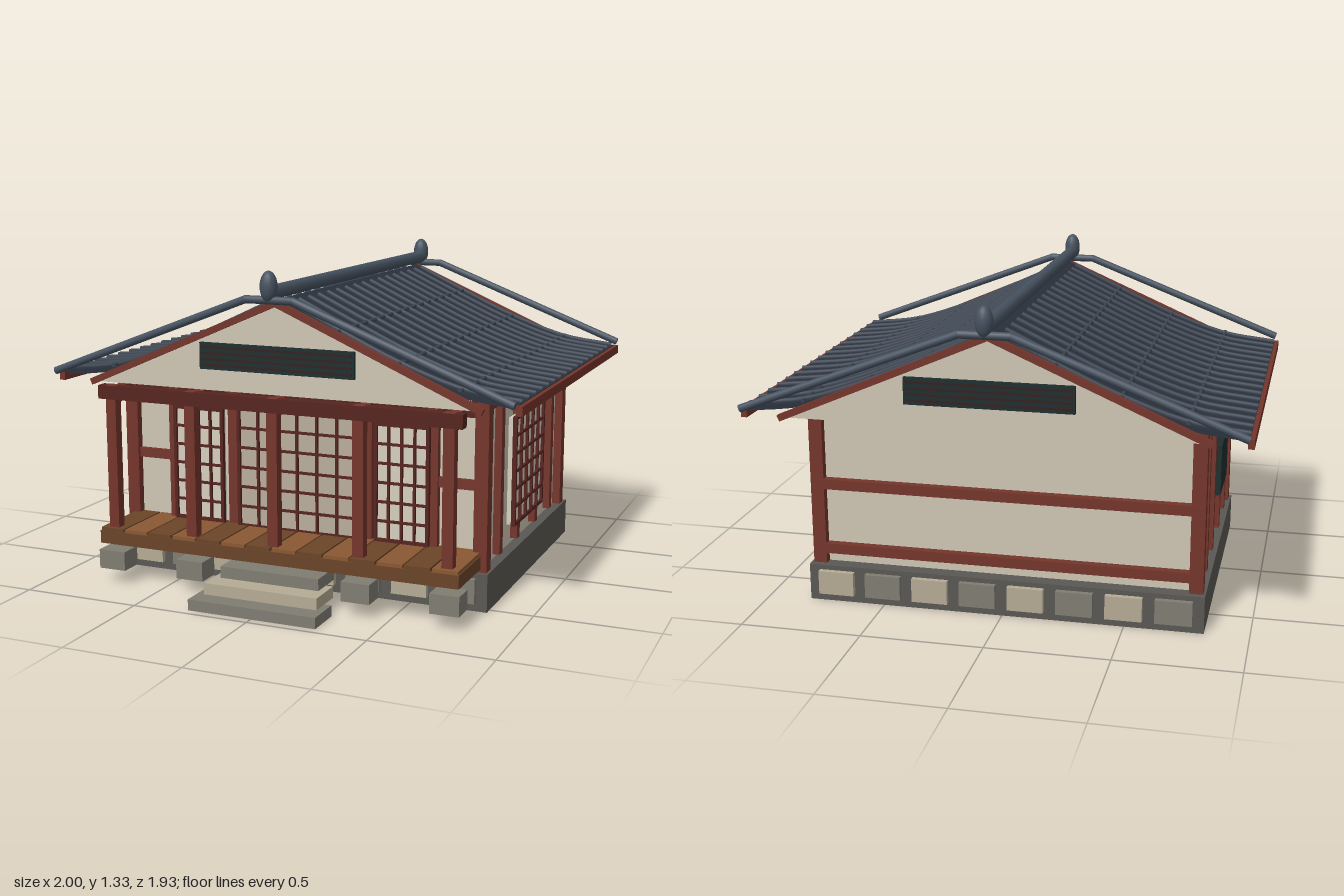
import * as THREE from 'three';

const mat = (color) => new THREE.MeshStandardMaterial({ color });
const M = {
  red: mat(0x74352b), darkRed: mat(0x56241f), wall: mat(0xcfc7b5), paper: mat(0xd6cfbf), door: mat(0xb9ae9e),
  tile: mat(0x2b323d), rib: mat(0x3a4350), ridge: mat(0x465260), base: mat(0x5a5853), stone: mat(0x807d72),
  paleStone: mat(0xb5ab95), deck: mat(0x6b4428), plank: mat(0x8a5832), vent: mat(0x1d2e2f), slat: mat(0x33201f),
};

export function createModel() {
  const root = new THREE.Group();

  const add = (name, geo, material, parent = root) => {
    const m = new THREE.Mesh(geo, material);
    m.name = name;
    parent.add(m);
    return m;
  };
  // Box given by its min and max on each axis
  const box = (name, material, [x0, x1], [y0, y1], [z0, z1], parent = root) => {
    const m = add(name, new THREE.BoxGeometry(x1 - x0, y1 - y0, z1 - z0), material, parent);
    m.position.set((x0 + x1) / 2, (y0 + y1) / 2, (z0 + z1) / 2);
    return m;
  };
  const around = (c, w) => [c - w / 2, c + w / 2];
  const tube = (name, points, r, material, n = 16) => add(name,
    new THREE.TubeGeometry(new THREE.CatmullRomCurve3(points), n, r, 8), material);
  // Round bar between two points, with closed ends
  const bar = (name, a, b, r, material) => {
    const d = b.clone().sub(a);
    const m = add(name, new THREE.CylinderGeometry(r, r, d.length(), 10), material);
    m.position.copy(a).add(b).multiplyScalar(0.5);
    m.quaternion.setFromUnitVectors(new THREE.Vector3(0, 1, 0), d.normalize());
    return m;
  };
  const V = (x, y, z) => new THREE.Vector3(x, y, z);

  // Paper panel with a wooden grid, facing +z
  const lattice = (name, w, h, cols, rows, panel) => {
    const g = new THREE.Group();
    g.name = name;
    box('paper', panel, around(0, w), around(0, h), [-0.02, 0.006], g);
    for (let i = 0; i <= cols; i++) {
      const edge = i === 0 || i === cols;
      box('latticeUpright', M.darkRed, around(-w / 2 + (w * i) / cols, edge ? 0.014 : 0.01), around(0, h + 0.01), [0, 0.018], g);
    }
    for (let j = 0; j <= rows; j++) {
      const edge = j === 0 || j === rows;
      box('latticeRail', M.darkRed, around(0, w + 0.01), around(-h / 2 + (h * j) / rows, edge ? 0.014 : 0.01), [0, 0.016], g);
    }
    root.add(g);
    return g;
  };

  // Stone foundation with facing stones front and back
  box('foundation', M.base, [-0.82, 0.82], [0, 0.155], [-0.695, 0.535]);
  for (let i = 0; i < 8; i++) {
    const x = around(-0.7 + i * 0.2, 0.15);
    box('facingStone', i % 2 ? M.stone : M.paleStone, x, [0.035, 0.135], [0.52, 0.558]);
    box('facingStone', i % 2 ? M.paleStone : M.stone, x, [0.035, 0.135], [-0.718, -0.68]);
  }

  // Entrance steps
  box('lowerStep', M.stone, [-0.275, 0.275], [0, 0.045], [0.81, 0.965]);
  box('middleStep', M.paleStone, [-0.245, 0.245], [0.045, 0.092], [0.725, 0.885]);
  box('upperStep', M.stone, [-0.215, 0.215], [0.092, 0.14], [0.645, 0.8]);

  // Walls
  box('walls', M.wall, [-0.775, 0.775], [0.155, 0.83], [-0.635, 0.485]);
  for (const s of [-1, 1]) {
    for (const z of [0.49, -0.64]) box('cornerPost', M.red, around(s * 0.782, 0.056), [0.155, 0.83], around(z, 0.056));
    for (const z of [0.305, 0.055, -0.22, -0.46]) box('sidePost', M.red, around(s * 0.78, 0.05), [0.175, 0.81], around(z, 0.04));
    box('sideTopBeam', M.red, around(s * 0.785, 0.045), [0.8, 0.835], [-0.665, 0.515]);
    for (const x of [0.3, 0.58]) box('frontPost', M.red, around(s * x, 0.045), [0.155, 0.83], around(0.488, 0.05));
    box('frontRail', M.red, around(s * 0.67, 0.2), [0.48, 0.52], [0.475, 0.505]);
  }
  for (const y of [0.22, 0.5, 0.812]) box('backBeam', M.red, [-0.78, 0.78], around(y, 0.042), [-0.67, -0.62]);
  box('frontTopBeam', M.darkRed, [-0.78, 0.78], [0.77, 0.83], [0.475, 0.51]);

  // Doors and windows
  lattice('centreDoors', 0.53, 0.5, 6, 6, M.door).position.set(0, 0.485, 0.515);
  for (const s of [-1, 1]) lattice('sideDoor', 0.22, 0.475, 4, 6, M.paper).position.set(s * 0.455, 0.48, 0.513);
  const win = lattice('sideWindow', 0.42, 0.45, 5, 6, M.paper);
  win.position.set(0.806, 0.485, -0.04);
  win.rotation.y = Math.PI / 2;
  box('sideShutter', M.vent, [-0.822, -0.78], [0.39, 0.61], [-0.15, 0.15]);

  // Porch deck with planks
  box('deckFrame', M.deck, [-0.785, 0.785], [0.168, 0.222], [0.445, 0.785]);
  const planks = 14, pw = 1.57 / planks;
  for (let i = 0; i < planks; i++) {
    box('deckPlank', i % 2 ? M.plank : M.deck, around(-0.785 + (i + 0.5) * pw, pw - 0.008), [0.215, 0.236], [0.45, 0.782]);
  }

  // Porch columns, footings and brackets
  for (const x of [-0.73, -0.365, 0, 0.365, 0.73]) {
    box('porchColumn', M.red, around(x, 0.045), [0.17, 0.835], around(0.742, 0.042));
    box('footing', M.stone, around(x, 0.12), [0.06, 0.14], around(0.74, 0.1));
    const b = box('bracket', M.red, around(x, 0.04), around(0.8, 0.055), around(0.67, 0.11));
    b.rotation.x = 0.22;
  }
  box('porchBeam', M.darkRed, [-0.785, 0.785], [0.778, 0.834], around(0.744, 0.048));

  // Curved roof slab, extruded along z
  const zF = 0.7, zB = -0.862;
  const slope = new THREE.SplineCurve([[0, 1.215], [0.25, 1.098], [0.5, 0.988], [0.75, 0.905], [0.98, 0.875]]
    .map(([x, y]) => new THREE.Vector2(x, y)));
  const right = slope.getPoints(20);
  const top = [...right.slice(1).reverse().map((p) => new THREE.Vector2(-p.x, p.y)), ...right];
  const under = top.map((p) => new THREE.Vector2(p.x, p.y - 0.02)).reverse();
  const roof = add('roof', new THREE.ExtrudeGeometry(new THREE.Shape([...top, ...under]),
    { depth: zF - zB, bevelEnabled: false }), M.tile);
  roof.position.z = zB;

  // Tile ribs down the slope and course lines along it
  for (const s of [-1, 1]) {
    for (let i = 0; i < 17; i++) {
      const z = -0.835 + i * 0.0938;
      const pts = [0.05, 0.25, 0.5, 0.75, 1].map((t) => slope.getPoint(t)).map((p) => V(s * p.x, p.y + 0.004, z));
      tube('tileRib', pts, 0.011, M.rib);
    }
    for (const t of [0.25, 0.5, 0.75]) {
      const p = slope.getPoint(t);
      bar('tileCourse', V(s * p.x, p.y + 0.003, zB), V(s * p.x, p.y + 0.003, zF), 0.009, M.rib);
    }
    box('eaveBoard', M.red, around(s * 0.985, 0.025), [0.835, 0.872], [-0.89, 0.725]);
  }

  // Gable ends: panel, bargeboards, vent, verge bars and finial
  for (const e of [{ z: 0.7, d: 1, tip: 0.772 }, { z: -0.862, d: -1, tip: -0.93 }]) {
    const tri = new THREE.Shape([[-0.82, 0.838], [0.82, 0.838], [0, 1.195]].map(([x, y]) => new THREE.Vector2(x, y)));
    const gable = add('gablePanel', new THREE.ExtrudeGeometry(tri, { depth: 0.015, bevelEnabled: false }), M.wall);
    gable.position.z = e.z - 0.0075;

    const len = Math.hypot(0.845, 0.365);
    for (const s of [-1, 1]) {
      const board = add('bargeboard', new THREE.BoxGeometry(len, 0.026, 0.024), M.red);
      board.position.set(s * 0.4225, 1.02, e.z + e.d * 0.014);
      board.rotation.z = -s * Math.atan2(0.365, 0.845);
      bar('vergeBar', V(s * 0.1, 1.22, e.tip), V(s * 0.982, 0.882, e.tip), 0.016, M.ridge);
      const joint = add('vergeJoint', new THREE.SphereGeometry(0.016, 10, 8), M.ridge);
      joint.position.set(s * 0.1, 1.22, e.tip);
    }
    bar('vergeTop', V(-0.1, 1.22, e.tip), V(0.1, 1.22, e.tip), 0.016, M.ridge);

    box('gableVent', M.vent, [-0.333, 0.333], [0.925, 1.032], around(e.z + e.d * 0.012, 0.024));
    for (let i = 0; i < 4; i++) {
      box('ventSlat', M.slat, [-0.325, 0.325], around(0.943 + i * 0.024, 0.009), around(e.z + e.d * 0.024, 0.01));
    }
    const finial = add('finial', new THREE.SphereGeometry(1, 16, 12), M.ridge);
    finial.scale.set(0.035, 0.062, 0.035);
    finial.position.set(0, 1.272, e.tip);
  }

  // Ridge
  bar('ridgeBar', V(0, 1.248, -0.93), V(0, 1.248, 0.772), 0.029, M.ridge);

  return root;
}
